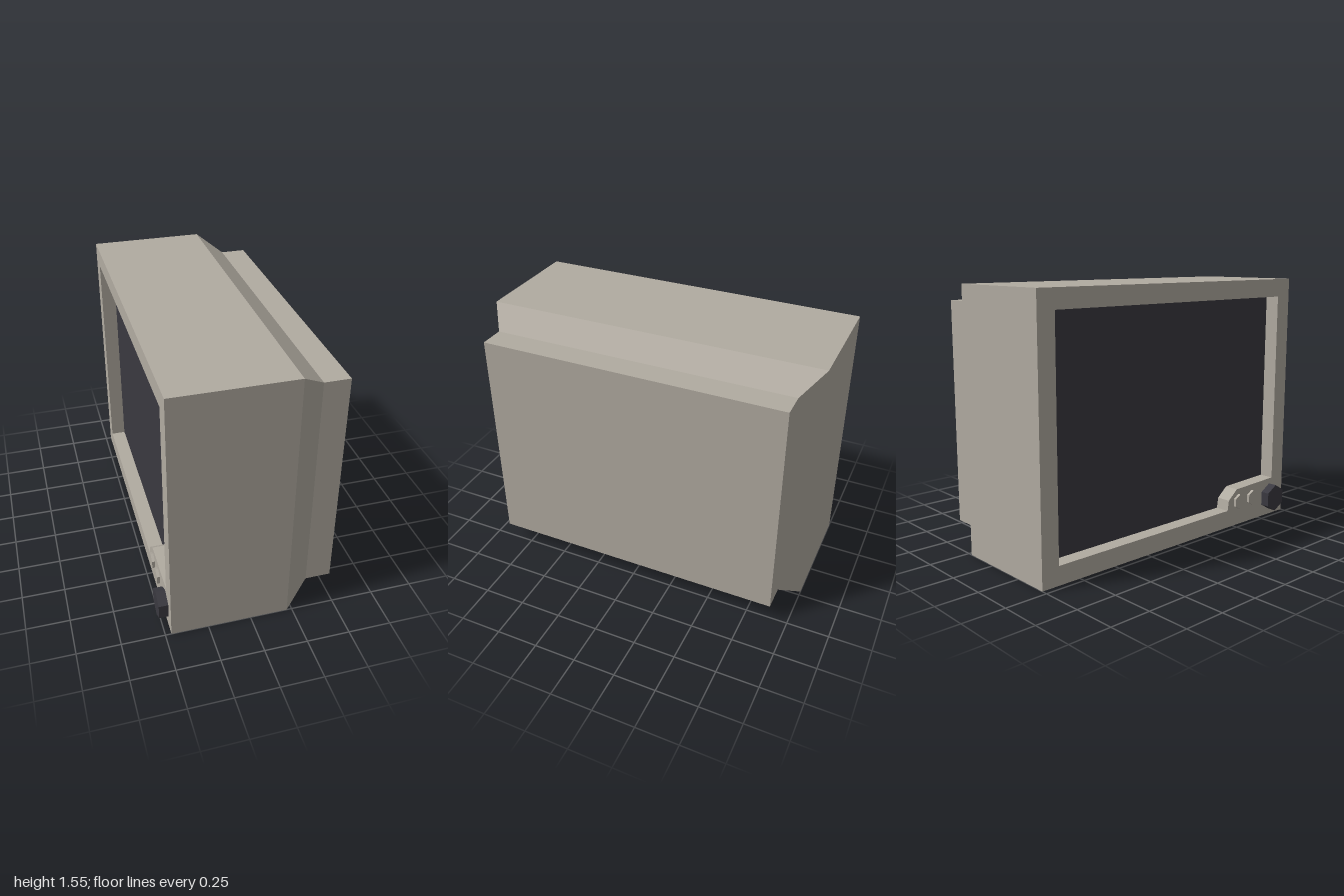
import * as THREE from 'three';

const FRONT = -0.465, SHOULDER = 0.22, SCREEN = -0.375;

const casing = new THREE.MeshStandardMaterial({ name: 'casing', color: 0xb1aba1, flatShading: true });
const dark = new THREE.MeshStandardMaterial({ name: 'darkPlastic', color: 0x3a3940, flatShading: true });

// Closed outline in (z, y)
const outline = pts => pts.map(([z, y]) => new THREE.Vector2(z, y));

// Flat shapes drawn in (z, y) are turned to face -x
const faceLeft = geo => geo.rotateY(-Math.PI / 2);

// Loft through rectangles across the x axis, closed at the last one
function loft(sections) {
  const rings = sections.map(([x, hz, y0, y1]) =>
    [[x, y0, hz], [x, y0, -hz], [x, y1, -hz], [x, y1, hz]]);
  const pos = [];
  const quad = (a, b, c, d) => pos.push(...a, ...b, ...c, ...a, ...c, ...d);
  for (let i = 0; i < rings.length - 1; i++) {
    for (let j = 0; j < 4; j++) {
      const k = (j + 1) % 4;
      quad(rings[i][j], rings[i][k], rings[i + 1][k], rings[i + 1][j]);
    }
  }
  quad(...rings[rings.length - 1]);
  const geo = new THREE.BufferGeometry();
  geo.setAttribute('position', new THREE.Float32BufferAttribute(pos, 3));
  geo.computeVertexNormals();
  return geo;
}

export function createModel() {
  const group = new THREE.Group();
  const add = (name, geo, mat) => {
    const mesh = new THREE.Mesh(geo, mat);
    mesh.name = name;
    group.add(mesh);
    return mesh;
  };

  // Screen opening, with a raised corner for the controls
  const opening = outline([
    [-0.89, 0.11], [0.45, 0.11], [0.46, 0.175], [0.535, 0.235],
    [0.89, 0.245], [0.89, 1.44], [-0.89, 1.44],
  ]);

  // Main cabinet with the recessed opening
  const cabinet = new THREE.Shape(outline([[-1, 0], [1, 0], [1, 1.55], [-1, 1.55]]));
  cabinet.holes.push(new THREE.Path(opening));
  const shell = faceLeft(new THREE.ExtrudeGeometry(cabinet, { depth: SHOULDER - FRONT, bevelEnabled: false }));
  add('cabinet', shell.translate(SHOULDER, 0, 0), casing);

  // Screen at the bottom of the recess
  const glass = faceLeft(new THREE.ShapeGeometry(new THREE.Shape(opening)));
  add('screen', glass.translate(SCREEN, 0, 0), dark);

  // Tapered shoulder and rear housing
  add('rearHousing', loft([
    [SHOULDER, 1, 0, 1.55],
    [0.37, 0.895, 0.11, 1.445],
    [0.52, 0.895, 0.11, 1.445],
  ]), casing);

  // Six-sided control knobs, a corner pointing up
  const knob = (name, y, z, radius, depth, mat) => {
    const geo = new THREE.CylinderGeometry(radius, radius, depth, 6)
      .rotateY(Math.PI / 2).rotateZ(Math.PI / 2);
    add(name, geo, mat).position.set(FRONT - depth / 2, y, z);
  };
  knob('smallKnobInner', 0.153, 0.552, 0.049, 0.017, casing);
  knob('smallKnobOuter', 0.153, 0.683, 0.049, 0.017, casing);
  knob('largeKnob', 0.122, 0.865, 0.087, 0.055, dark);

  return group;
}
